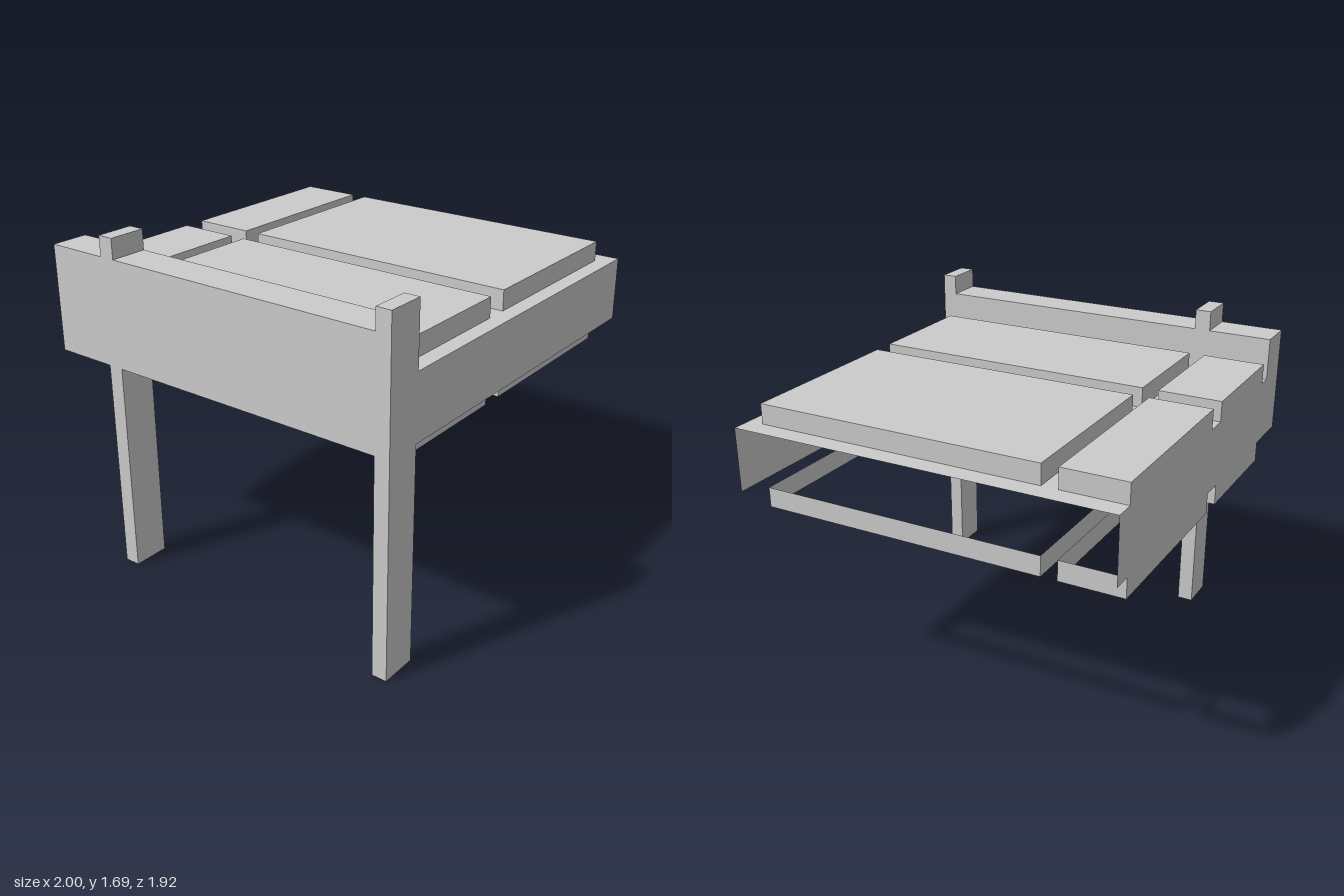
import * as THREE from 'three';

const material = new THREE.MeshStandardMaterial({ color: 0xcccccc, flatShading: true, side: THREE.DoubleSide });

// Each direction: how world coordinates map to the flat outline, and how the face is turned and placed.
const DIRS = {
  front: { map: ([x, y]) => [x, y], turn: g => g, axis: 'z' },
  back: { map: ([x, y]) => [-x, y], turn: g => g.rotateY(Math.PI), axis: 'z' },
  right: { map: ([z, y]) => [-z, y], turn: g => g.rotateY(Math.PI / 2), axis: 'x' },
  left: { map: ([z, y]) => [z, y], turn: g => g.rotateY(-Math.PI / 2), axis: 'x' },
  top: { map: ([x, z]) => [x, -z], turn: g => g.rotateX(-Math.PI / 2), axis: 'y' },
};

const rect = (a0, a1, b0, b1) => [[a0, b0], [a1, b0], [a1, b1], [a0, b1]];

// Flat sheet with an outline (and holes) in world coordinates, facing dir at the given offset
function sheet(parent, name, dir, at, outline, holes = []) {
  const { map, turn, axis } = DIRS[dir];
  const toVectors = pts => pts.map(p => new THREE.Vector2(...map(p)));
  const shape = new THREE.Shape(toVectors(outline));
  holes.forEach(h => shape.holes.push(new THREE.Path(toVectors(h))));
  const mesh = new THREE.Mesh(turn(new THREE.ShapeGeometry(shape)), material);
  mesh.name = name;
  mesh.position[axis] = at;
  parent.add(mesh);
}

function group(parent, name) {
  const g = new THREE.Group();
  g.name = name;
  parent.add(g);
  return g;
}

export function createModel() {
  const model = new THREE.Group();
  model.name = 'platform';

  // Main levels and extents
  const Z = 0.96, low = 1.06, deckY = 1.38, boardY = 1.59, postY = 1.69;
  const inner = -0.81, legX = -0.815;
  const trimLow = 0.96, panelY = 1.48;
  const columns = [[-0.74, -0.13], [-0.02, 0.9]];
  const rows = [[-Z, -0.645], [-0.565, 0.88]];
  const posts = [[0.885, Z], [-0.64, -0.56]];

  // Hollow frame: front and back sheets, end board, open on the right and below
  const frame = group(model, 'frame');
  sheet(frame, 'frontBoard', 'front', Z, [
    [-1, 0], [legX, 0], [legX, low], [1, low], [1, deckY], [inner, deckY], [inner, postY], [-1, postY]]);
  sheet(frame, 'backBoard', 'back', -Z, [
    [-1, low], [1, low], [1, deckY], [inner, deckY], [inner, boardY], [-1, boardY]]);
  sheet(frame, 'endBoardOuter', 'left', -1, [
    [Z, 0], [Z, postY], [0.885, postY], [0.885, boardY], [-0.56, boardY], [-0.56, postY],
    [-0.64, postY], [-0.64, boardY], [-Z, boardY], [-Z, low], [-0.64, low], [-0.64, 0],
    [-0.56, 0], [-0.56, low], [0.885, low], [0.885, 0]]);
  sheet(frame, 'endBoardInner', 'right', inner, [
    [Z, deckY], [Z, postY], [0.885, postY], [0.885, boardY], [-0.56, boardY], [-0.56, postY],
    [-0.64, postY], [-0.64, boardY], [-Z, boardY], [-Z, deckY]]);
  for (const [z0, z1] of [[-Z, -0.64], [-0.56, 0.885]])
    sheet(frame, 'endBoardTop', 'top', boardY, rect(-1, inner, z0, z1));

  // Legs and the post ends standing above the end board
  for (const [z0, z1] of posts) {
    const leg = group(model, z1 > 0 ? 'frontLeg' : 'rearLeg');
    sheet(leg, 'legInnerSide', 'right', legX, rect(z0, z1, 0, low));
    sheet(leg, 'postCap', 'top', postY, rect(-1, inner, z0, z1));
    const sides = z1 === Z ? [['back', z0]] : [['back', z0], ['front', z1]];
    for (const [dir, z] of sides) {
      sheet(leg, 'legSide', dir, z, rect(-1, legX, 0, low));
      sheet(leg, 'postSide', dir, z, rect(-1, inner, boardY, postY));
    }
  }

  // Deck with an opening below each raised panel
  const openings = [];
  for (const [x0, x1] of columns)
    for (const [z0, z1] of rows) openings.push(rect(x0, x1, Math.max(z0, -Z + 0.001), z1));
  sheet(model, 'deck', 'top', deckY, rect(inner, 1, -Z, Z), openings);

  // Raised panels above, and matching open rims below
  for (const [x0, x1] of columns) {
    for (const [z0, z1] of rows) {
      const panel = group(model, 'raisedPanel');
      const rim = group(model, 'lowerRim');
      for (const [part, y0, y1] of [[panel, deckY, panelY], [rim, trimLow, low]]) {
        sheet(part, 'leftWall', 'left', x0, rect(z0, z1, y0, y1));
        sheet(part, 'rightWall', 'right', x1, rect(z0, z1, y0, y1));
        sheet(part, 'frontWall', 'front', z1, rect(x0, x1, y0, y1));
        sheet(part, 'backWall', 'back', z0, rect(x0, x1, y0, y1));
      }
      sheet(panel, 'lid', 'top', panelY, rect(x0, x1, z0, z1));
    }
  }

  return model;
}
